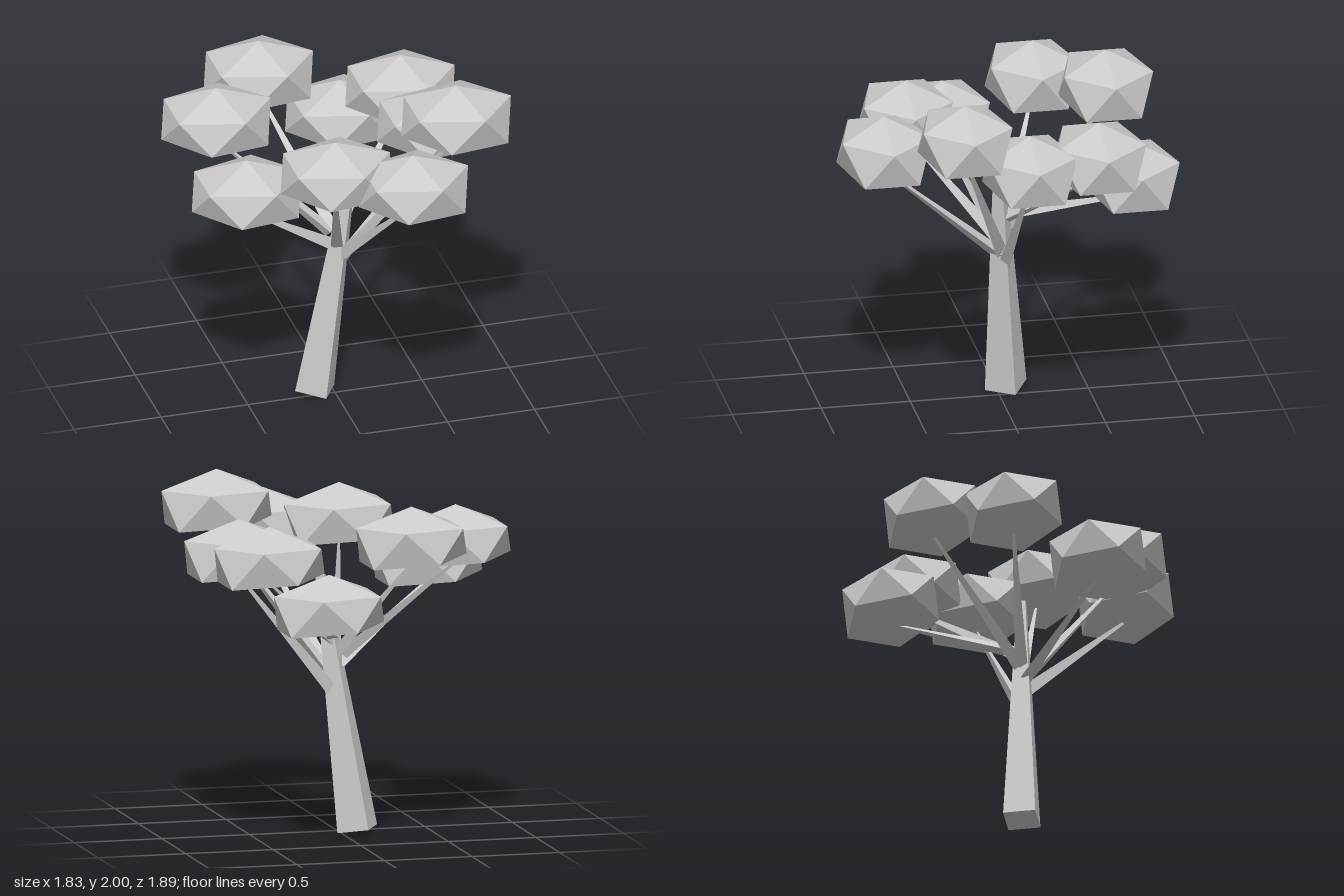
import * as THREE from 'three';

const material = new THREE.MeshStandardMaterial({ color: 0xcccccc, flatShading: true });

// Tapered limb running between two points
function limb(name, from, to, r0, r1, sides, twist = 0) {
  const a = new THREE.Vector3(...from);
  const b = new THREE.Vector3(...to);
  const dir = b.clone().sub(a);
  const geometry = new THREE.CylinderGeometry(r1, r0, dir.length(), sides, 1, false, twist);
  const mesh = new THREE.Mesh(geometry, material);
  mesh.name = name;
  mesh.position.copy(a).add(b).multiplyScalar(0.5);
  mesh.quaternion.setFromUnitVectors(new THREE.Vector3(0, 1, 0), dir.normalize());
  return mesh;
}

// Faceted leaf clump: two staggered pentagons between a raised tip and a shallow underside
function clumpGeometry() {
  const points = [0, 0, 0];
  for (let ring = 0; ring < 2; ring++) {
    for (let i = 0; i < 5; i++) {
      const angle = (i + ring * 0.5) * Math.PI * 2 / 5;
      const x = Math.cos(angle) * 0.315;
      const y = ring ? -0.3 - x * 0.08 : -0.11;
      points.push(x, y, Math.sin(angle) * 0.262);
    }
  }
  points.push(0, -0.34, 0);
  const index = [];
  for (let i = 0; i < 5; i++) {
    const u = 1 + i, un = 1 + (i + 1) % 5;
    const l = 6 + i, ln = 6 + (i + 1) % 5;
    index.push(0, un, u, u, un, l, un, ln, l, 11, l, ln);
  }
  const geometry = new THREE.BufferGeometry();
  geometry.setAttribute('position', new THREE.Float32BufferAttribute(points, 3));
  geometry.setIndex(index);
  const flat = geometry.toNonIndexed();
  flat.computeVertexNormals();
  return flat;
}

export function createModel() {
  const tree = new THREE.Group();
  tree.name = 'tree';

  // Leaning four-sided trunk
  tree.add(limb('trunk', [-0.1, 0.015, -0.055], [0.09, 1.43, 0.02], 0.127, 0.033, 4, 0.25));

  // Each clump: its tip, and where its branch leaves the trunk
  const clumps = [
    { tip: [-0.595, 1.85, -0.3], root: [-0.02, 1.0, -0.03] },
    { tip: [-0.25, 1.91, -0.645], root: [0.0, 1.0, -0.03] },
    { tip: [0.235, 1.56, -0.7], root: [0.04, 1.1, -0.03] },
    { tip: [0.51, 1.8, -0.46], root: [0.04, 1.07, -0.02] },
    { tip: [0.575, 1.78, -0.06], root: [0.04, 0.8, -0.03] },
    { tip: [0.605, 2.0, 0.31], root: [0.04, 0.87, 0.0] },
    { tip: [0.245, 1.82, 0.695], root: [0.03, 0.86, 0.01] },
    { tip: [-0.145, 1.86, 0.5], root: [0.01, 0.93, 0.01] },
    { tip: [-0.57, 1.66, 0.21], root: [-0.01, 0.93, 0.0] },
  ];
  const leaves = clumpGeometry();
  clumps.forEach(({ tip, root }, i) => {
    const clump = new THREE.Mesh(leaves, material);
    clump.name = 'leafClump' + (i + 1);
    clump.position.set(...tip);
    tree.add(clump);
    const end = [tip[0], tip[1] - 0.32, tip[2]];
    tree.add(limb('branch' + (i + 1), root, end, 0.04, 0.008, 3, i));
  });

  return tree;
}
